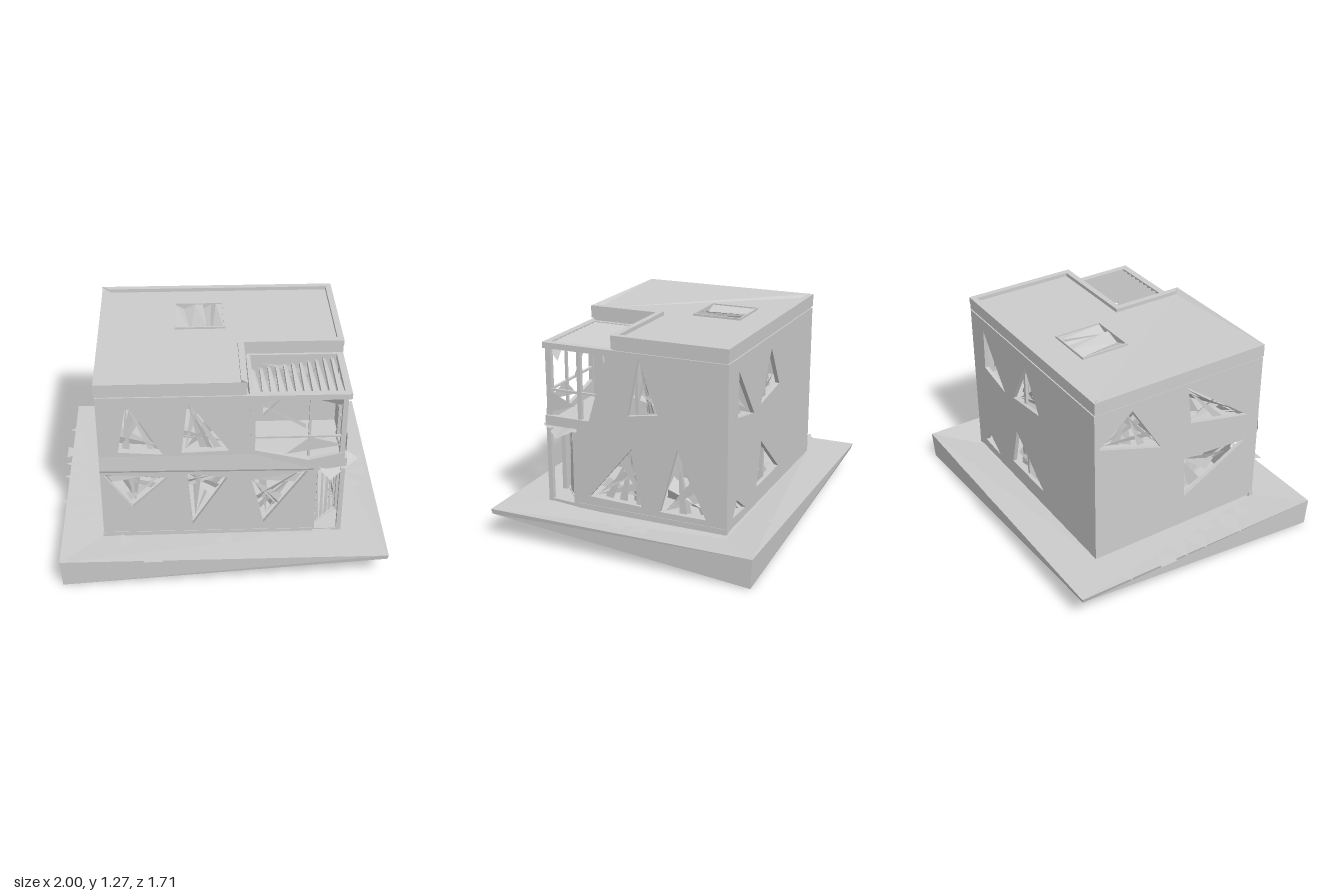
import * as THREE from 'three';

const grey = new THREE.MeshStandardMaterial({ color: 0xcccccc, side: THREE.DoubleSide });
grey.name = 'plainGrey';

let seed = 7;
const rnd = () => (seed = (seed * 16807) % 2147483647) / 2147483647;

function add(parent, name, geo, x = 0, y = 0, z = 0) {
  const m = new THREE.Mesh(geo, grey);
  m.name = name;
  m.position.set(x, y, z);
  parent.add(m);
  return m;
}

// box given by its two opposite corners
function box(parent, name, x0, x1, y0, y1, z0, z1) {
  return add(parent, name, new THREE.BoxGeometry(x1 - x0, y1 - y0, z1 - z0),
    (x0 + x1) / 2, (y0 + y1) / 2, (z0 + z1) / 2);
}

// faceted surface from a list of triangles / quads given as points
function facets(parent, name, faces) {
  const pos = [];
  for (const f of faces)
    for (let i = 1; i < f.length - 1; i++) pos.push(...f[0], ...f[i], ...f[i + 1]);
  const g = new THREE.BufferGeometry();
  g.setAttribute('position', new THREE.Float32BufferAttribute(pos, 3));
  g.computeVertexNormals();
  return add(parent, name, g);
}

const shapeOf = pts => new THREE.Shape(pts.map(p => new THREE.Vector2(...p)));
const pathOf = pts => new THREE.Path(pts.map(p => new THREE.Vector2(...p)));
const extrude = (shape, depth) => new THREE.ExtrudeGeometry(shape, { depth, bevelEnabled: false });

// horizontal slab from an x,z outline
function slab(parent, name, pts, y0, y1, holes = []) {
  const flip = a => a.map(([x, z]) => [x, -z]);
  const s = shapeOf(flip(pts));
  s.holes = holes.map(h => pathOf(flip(h)));
  return add(parent, name, extrude(s, y1 - y0).rotateX(-Math.PI / 2), 0, y0, 0);
}

// broken frame slivers set back inside a triangular opening
function slivers(parent, [a, b, c]) {
  const mix = (p, q, t, d) => [p[0] + (q[0] - p[0]) * t, p[1] + (q[1] - p[1]) * t, d];
  const faces = [];
  const corners = [[a, b, c], [b, c, a], [c, a, b]];
  for (let i = 0; i < 8; i++) {
    const [p, q, r] = corners[i % 3];
    const t = 0.1 + 0.7 * rnd();
    faces.push([mix(p, q, 0.08, -0.03 - 0.03 * rnd()),
      mix(q, r, t, -0.03 - 0.05 * rnd()), mix(q, r, t + 0.16, -0.03 - 0.04 * rnd())]);
  }
  facets(parent, 'windowFrame', faces);
}

// wall with triangular windows; local +z points outwards
function wall(parent, name, outline, windows, angle, x, z) {
  const g = new THREE.Group();
  g.name = name;
  g.rotation.y = angle;
  g.position.set(x, 0, z);
  const s = shapeOf(outline);
  s.holes = windows.map(pathOf);
  add(g, name + 'Panel', extrude(s, 0.025), 0, 0, -0.025);
  windows.forEach(w => slivers(g, w));
  parent.add(g);
}

function base(root) {
  // slab with two chipped lower corners and a flat footing
  const rect = (x0, x1, z0, z1, ys) =>
    [[x0, ys[0], z1], [x1, ys[1], z1], [x1, ys[2], z0], [x0, ys[3], z0]];
  const top = rect(-0.97, 1, -0.85, 0.82, [0.18, 0.18, 0.18, 0.18]);
  const low = rect(-0.96, 0.995, -0.84, 0.815, [0, 0.15, 0, 0.15]);
  const inTop = rect(-0.72, 0.75, -0.6, 0.57, [0.17, 0.18, 0.15, 0.18]);
  const inLow = rect(-0.7, 0.72, -0.6, 0.56, [0, 0, 0, 0]);
  const faces = [inTop, [...inLow].reverse()];
  for (let i = 0; i < 4; i++) {
    const j = (i + 1) % 4;
    faces.push([low[i], low[j], top[j], top[i]], [top[i], top[j], inTop[j]],
      [top[i], inTop[j], inTop[i]], [low[j], low[i], inLow[i]], [low[j], inLow[i], inLow[j]]);
  }
  facets(root, 'groundSlab', faces);

  // loose paving triangles: x, z, direction in quarter turns (0 = +x, 1 = back)
  const stones = [[-0.15, -0.8, 1], [-0.02, -0.8, 1], [0.12, -0.8, 3], [0.51, -0.8, 3],
    [-0.55, 0.65, 0], [0, 0.66, 2], [0.25, 0.66, 2], [0.36, 0.66, 0], [0.41, 0.66, 2],
    [0.52, 0.66, 0], [0.62, 0.64, 3], [0.65, 0.66, 0], [-0.41, 0.79, 1], [-0.02, 0.78, 3], [0.12, 0.78, 3],
    [-0.94, -0.53, 2], [-0.81, -0.53, 0], [-0.81, -0.41, 0], [-0.94, -0.27, 0], [-0.94, -0.14, 2],
    [-0.81, -0.16, 0], [-0.81, -0.05, 0], [-0.94, 0, 2], [-0.81, 0.12, 0], [-0.94, 0.26, 2],
    [-0.81, 0.26, 0], [-0.81, 0.39, 0], [0.91, -0.14, 2], [0.91, 0, 2], [0.9, 0.13, 0]];
  for (const [x, z, q] of stones) {
    const s = shapeOf([[0.06, 0], [-0.06, 0.06], [-0.06, -0.06]]);
    const m = add(root, 'pavingStone', new THREE.ShapeGeometry(s).rotateX(-Math.PI / 2), x, 0.196, z);
    m.rotation.y = q * Math.PI / 2;
  }
}

function walls(root) {
  wall(root, 'frontWall',
    [[-0.715, 0.18], [0.55, 0.18], [0.55, 0.64], [0.73, 0.67], [0.73, 0.77], [0.52, 0.72],
      [0.19, 0.8], [0.17, 1.18], [-0.715, 1.18]],
    [[[-0.54, 1.15], [-0.6, 0.8], [-0.34, 0.78]], [[-0.19, 1.15], [-0.23, 0.79], [0.05, 0.8]],
      [[-0.7, 0.64], [-0.53, 0.39], [-0.31, 0.61]], [[-0.2, 0.64], [-0.17, 0.25], [0.04, 0.6]],
      [[0.18, 0.58], [0.26, 0.25], [0.52, 0.64]]], 0, 0, 0.57);
  wall(root, 'rightWall',
    [[-0.36, 0.18], [0.6, 0.18], [0.6, 1.18], [-0.14, 1.18], [-0.28, 0.72], [-0.36, 0.68]],
    [[[0.05, 1.15], [-0.02, 0.8], [0.17, 0.83]], [[0, 0.6], [-0.28, 0.26], [0.06, 0.25]],
      [[0.29, 0.64], [0.18, 0.24], [0.47, 0.24]]], Math.PI / 2, 0.75, 0);
  wall(root, 'backWall', [[-0.75, 0.18], [0.715, 0.18], [0.715, 1.18], [-0.75, 1.18]],
    [[[-0.59, 1.1], [-0.6, 0.83], [-0.34, 0.78]], [[-0.06, 1.1], [-0.23, 0.8], [0.09, 0.84]],
      [[-0.21, 0.56], [-0.28, 0.29], [0.11, 0.29]], [[-0.6, 0.33], [-0.66, 0.24], [-0.46, 0.23]]],
    Math.PI, 0, -0.6);
  wall(root, 'leftWall', [[-0.6, 0.18], [0.57, 0.18], [0.57, 1.18], [-0.6, 1.18]],
    [[[-0.35, 1.13], [-0.575, 0.95], [-0.15, 0.81]], [[0.03, 1.15], [0.06, 0.9], [0.48, 0.81]],
      [[0.02, 0.66], [0.03, 0.38], [0.48, 0.63]]], -Math.PI / 2, -0.715, 0);

  // shallow belt between the storeys
  facets(root, 'frontBelt', [
    [[-0.715, 0.655, 0.571], [0.55, 0.645, 0.571], [0.55, 0.66, 0.577], [-0.715, 0.67, 0.577]],
    [[-0.715, 0.67, 0.577], [0.55, 0.66, 0.577], [0.2, 0.77, 0.571], [-0.715, 0.77, 0.571]]]);
  box(root, 'plinth', -0.72, 0.56, 0.17, 0.2, 0.54, 0.573);
  box(root, 'plinth', 0.72, 0.753, 0.17, 0.205, -0.6, 0.36);

  // floors and inner partitions
  slab(root, 'groundFloor', [[-0.7, -0.58], [0.73, -0.58], [0.73, 0.38], [0.54, 0.55], [-0.7, 0.55]], 0.18, 0.2);
  slab(root, 'upperFloor', [[-0.7, -0.58], [0.73, -0.58], [0.73, 0.55], [-0.7, 0.55]], 0.67, 0.7);
  box(root, 'partition', 0.1, 0.12, 0.2, 1.17, -0.58, 0.54);
  box(root, 'partition', -0.7, 0.73, 0.2, 1.17, -0.04, -0.02);
}

function roof(root) {
  const outline = (d) => [[-0.72 - d, -0.6 - d], [0.75 + d, -0.6 - d], [0.75 + d, 0.12 + d],
    [0.15 + d, 0.12 + d], [0.15 + d, 0.57 + d], [-0.72 - d, 0.57 + d]];
  const skylight = [[-0.25, -0.38], [0.04, -0.38], [0.04, -0.09], [-0.25, -0.09]];
  slab(root, 'cornice', outline(-0.008), 1.17, 1.195, [skylight]);
  slab(root, 'roofSlab', outline(0), 1.19, 1.245, [skylight]);
  // raised rim along the back, right and notch edges only
  const outer = outline(0.002).slice(0, 5), inner = outline(-0.035).slice(0, 5);
  slab(root, 'roofRim', [...outer, ...inner.reverse()], 1.235, 1.268);
  // left and front edges slope down from the eaves to a diagonal valley
  const back = [-0.72, 1.268, -0.6], corner = [-0.72, 1.268, 0.57], front = [0.15, 1.268, 0.57];
  const valleyBack = [-0.685, 1.248, -0.565], valleyFront = [0.115, 1.248, 0.535];
  const drop = ([x, , z]) => [x, 1.24, z];
  facets(root, 'roofFall', [
    [back, corner, valleyFront, valleyBack], [corner, front, valleyFront],
    [drop(back), drop(corner), corner, back], [drop(corner), drop(front), front, corner]]);
  // skylight kerb, a folded cover on the left and a narrow slanted pane
  slab(root, 'skylightKerb', [[-0.26, -0.39], [0.05, -0.39], [0.05, -0.08], [-0.26, -0.08]],
    1.24, 1.258, [skylight]);
  facets(root, 'skylightPanes', [
    [[-0.25, 1.25, -0.38], [-0.25, 1.25, -0.09], [-0.16, 1.22, -0.09], [-0.2, 1.22, -0.38]],
    [[-0.2, 1.22, -0.38], [-0.16, 1.22, -0.09], [-0.13, 1.25, -0.38]],
    [[-0.13, 1.25, -0.38], [-0.16, 1.22, -0.09], [-0.06, 1.25, -0.09], [-0.08, 1.25, -0.38]],
    [[-0.09, 1.22, -0.36], [-0.04, 1.22, -0.09], [-0.03, 1.25, -0.38]],
    [[0.0, 1.25, -0.38], [-0.03, 1.22, -0.09], [0.04, 1.25, -0.09], [0.04, 1.25, -0.38]]]);
}

function balcony(root) {
  // recessed walls with openings
  wall(root, 'balconyBackWall', [[0.17, 0.7], [0.74, 0.7], [0.74, 1.18], [0.17, 1.18]],
    [[[0.25, 1.12], [0.28, 0.74], [0.62, 1.1]]], 0, 0, 0.13);
  wall(root, 'balconySideWall', [[-0.56, 0.7], [-0.13, 0.7], [-0.13, 1.18], [-0.56, 1.18]],
    [[[-0.5, 1.1], [-0.45, 0.75], [-0.2, 1.1]]], Math.PI / 2, 0.19, 0);
  // posts, beams and rails
  box(root, 'balconyPost', 0.17, 0.2, 0.78, 1.18, 0.54, 0.572);
  box(root, 'balconyPost', 0.7, 0.73, 0.7, 1.18, 0.53, 0.565);
  box(root, 'balconyPost', 0.71, 0.735, 0.7, 1.17, 0.33, 0.355);
  box(root, 'balconyPost', 0.51, 0.525, 0.74, 1.15, 0.54, 0.555);
  box(root, 'pergolaBeam', 0.17, 0.745, 1.145, 1.18, 0.53, 0.572);
  box(root, 'pergolaBeam', 0.71, 0.75, 1.145, 1.18, 0.12, 0.57);
  box(root, 'balconyRail', 0.2, 0.72, 0.875, 0.887, 0.545, 0.56);
  box(root, 'balconyRail', 0.718, 0.733, 0.885, 0.897, 0.22, 0.56);
  box(root, 'balconyParapet', 0.715, 0.745, 0.67, 0.73, 0.27, 0.57);
  facets(root, 'railPanels', [
    [[0.38, 0.76, 0.56], [0.72, 0.82, 0.56], [0.52, 0.88, 0.56]],
    [[0.74, 0.75, 0.55], [0.74, 0.81, 0.37], [0.74, 0.89, 0.55]],
    [[0.22, 1.11, 0.55], [0.5, 0.9, 0.5], [0.5, 0.93, 0.5]],
    [[0.55, 1.13, 0.54], [0.72, 1.13, 0.54], [0.7, 1.06, 0.5]]]);
  // pergola slats, shorter towards the left
  for (let i = 0; i < 11; i++) {
    const x = 0.19 + i * 0.048, z = 0.27 - 0.12 * i / 10;
    facets(root, 'pergolaSlat', [
      [[x, 1.175, z], [x, 1.175, 0.53], [x + 0.042, 1.16, 0.53], [x + 0.02, 1.16, z]],
      [[x, 1.175, z], [x, 1.175, 0.53], [x, 1.145, 0.53], [x, 1.145, z]]]);
  }
}

function porch(root) {
  // corner posts, door slats across the chamfer, and a canopy
  const posts = [[0.56, 0.555], [0.735, 0.375], [0.725, 0.555]];
  for (const [x, z] of posts) box(root, 'porchPost', x - 0.014, x + 0.014, 0.18, 0.65, z - 0.014, z + 0.014);
  for (let i = 0; i < 5; i++) {
    const t = (i + 0.5) / 5, x = 0.57 + 0.15 * t, z = 0.52 - 0.15 * t;
    facets(root, 'doorSlat', [
      [[x, 0.2, z], [x + 0.025, 0.2, z - 0.03], [x + 0.01 * (i % 3), 0.62, z - 0.01], [x, 0.62, z]]]);
  }
  slab(root, 'porchStep', [[0.54, 0.57], [0.73, 0.57], [0.75, 0.36], [0.6, 0.4]], 0.17, 0.195);
  facets(root, 'porchCanopy', [
    [[0.55, 0.68, 0.52], [0.64, 0.635, 0.65], [0.83, 0.635, 0.45], [0.72, 0.69, 0.36]],
    [[0.55, 0.66, 0.52], [0.72, 0.66, 0.36], [0.83, 0.63, 0.45], [0.64, 0.63, 0.65]]]);
}

export function createModel() {
  const root = new THREE.Group();
  root.name = 'house';
  for (const [name, build] of Object.entries({ base, walls, roof, balcony, porch })) {
    const g = new THREE.Group();
    g.name = name;
    build(g);
    root.add(g);
  }
  return root;
}
